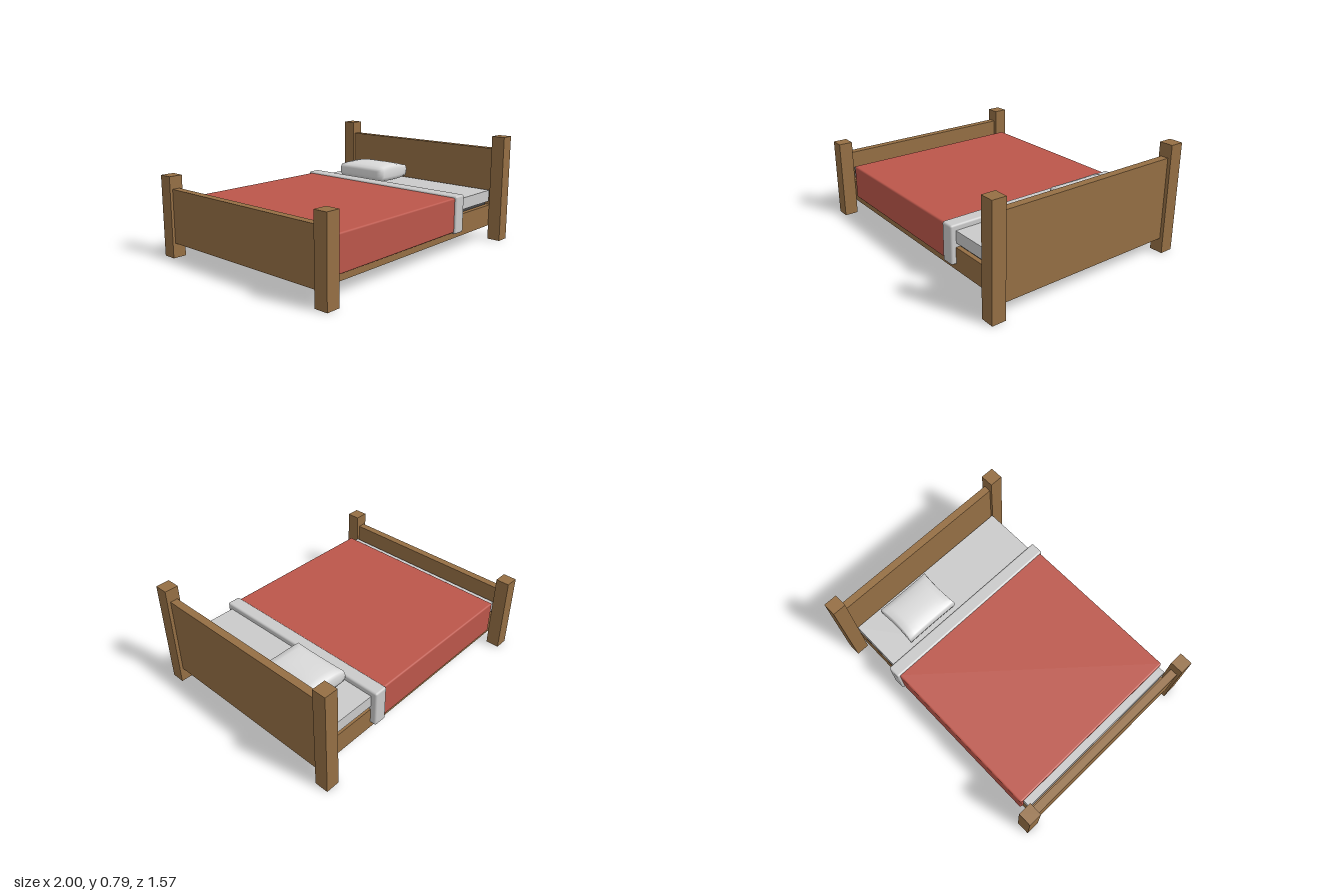
import * as THREE from 'three';
import { mergeVertices } from 'three/addons/utils/BufferGeometryUtils.js';
import { RoundedBoxGeometry } from 'three/addons/geometries/RoundedBoxGeometry.js';

const material = (name, color) => {
  const m = new THREE.MeshStandardMaterial({ color });
  m.name = name;
  return m;
};

// Soft cushion: a subdivided box, thick in the middle, with slightly pinched sides
function pillowGeometry(width, height, depth) {
  const geo = new THREE.BoxGeometry(2, 2, 2, 8, 4, 8);
  geo.deleteAttribute('uv');
  geo.deleteAttribute('normal');
  const p = geo.attributes.position;
  for (let i = 0; i < p.count; i++) {
    const x = p.getX(i), y = p.getY(i), z = p.getZ(i);
    const puff = 0.62 + 0.38 * (1 - Math.abs(x) ** 2.5) * (1 - 0.5 * z ** 4);
    const rim = 1 - 0.04 * y ** 4;
    p.setXYZ(i,
      x * width / 2 * rim * (0.98 + 0.02 * z * z),
      y * height / 2 * puff,
      z * depth / 2 * rim * (0.955 + 0.045 * x * x));
  }
  const smooth = mergeVertices(geo);
  smooth.computeVertexNormals();
  return smooth;
}

export function createModel() {
  const bed = new THREE.Group();
  bed.name = 'bed';

  const wood = material('wood', 0x956f44);
  const linen = material('linen', 0xcacaca);
  const blanketRed = material('blanketRed', 0xbb564a);
  const pillowWhite = material('pillowWhite', 0xdadada);
  const darkBase = material('darkBase', 0x474747);

  const add = (name, geo, mat, x, y, z) => {
    const mesh = new THREE.Mesh(geo, mat);
    mesh.name = name;
    mesh.position.set(x, y, z);
    bed.add(mesh);
  };
  // Boxes given by their limits on each axis
  const box = (name, mat, [x0, x1], [y0, y1], [z0, z1], round = 0) => {
    const size = [x1 - x0, y1 - y0, z1 - z0];
    const geo = round
      ? new RoundedBoxGeometry(...size, 2, round)
      : new THREE.BoxGeometry(...size);
    add(name, geo, mat, (x0 + x1) / 2, (y0 + y1) / 2, (z0 + z1) / 2);
  };

  // Corner posts
  for (const [side, x, h] of [['foot', -0.95, 0.58], ['head', 0.95, 0.79]]) {
    for (const s of [-1, 1]) {
      add(`${side}Post`, new THREE.BoxGeometry(0.1, h, 0.1), wood, x, h / 2, s * 0.735);
    }
  }

  // End boards and frame
  box('headboard', wood, [0.92, 0.975], [0.105, 0.695], [-0.685, 0.685]);
  box('footboard', wood, [-0.98, -0.925], [0.105, 0.49], [-0.685, 0.685]);
  box('frame', wood, [-0.925, 0.92], [0.105, 0.265], [-0.683, 0.683]);

  // Mattress on its recessed base
  box('mattressBase', darkBase, [-0.9, 0.9], [0.265, 0.295], [-0.65, 0.65]);
  box('mattress', linen, [-0.9, 0.9], [0.295, 0.38], [-0.685, 0.68]);

  // Blanket and its folded-over sheet
  box('blanket', blanketRed, [-0.845, 0.4], [0.155, 0.408], [-0.71, 0.704], 0.012);
  box('foldedSheet', linen, [0.39, 0.49], [0.145, 0.42], [-0.728, 0.718], 0.014);

  // Pillow
  add('pillow', pillowGeometry(0.325, 0.142, 0.43), pillowWhite, 0.682, 0.451, -0.275);

  return bed;
}
